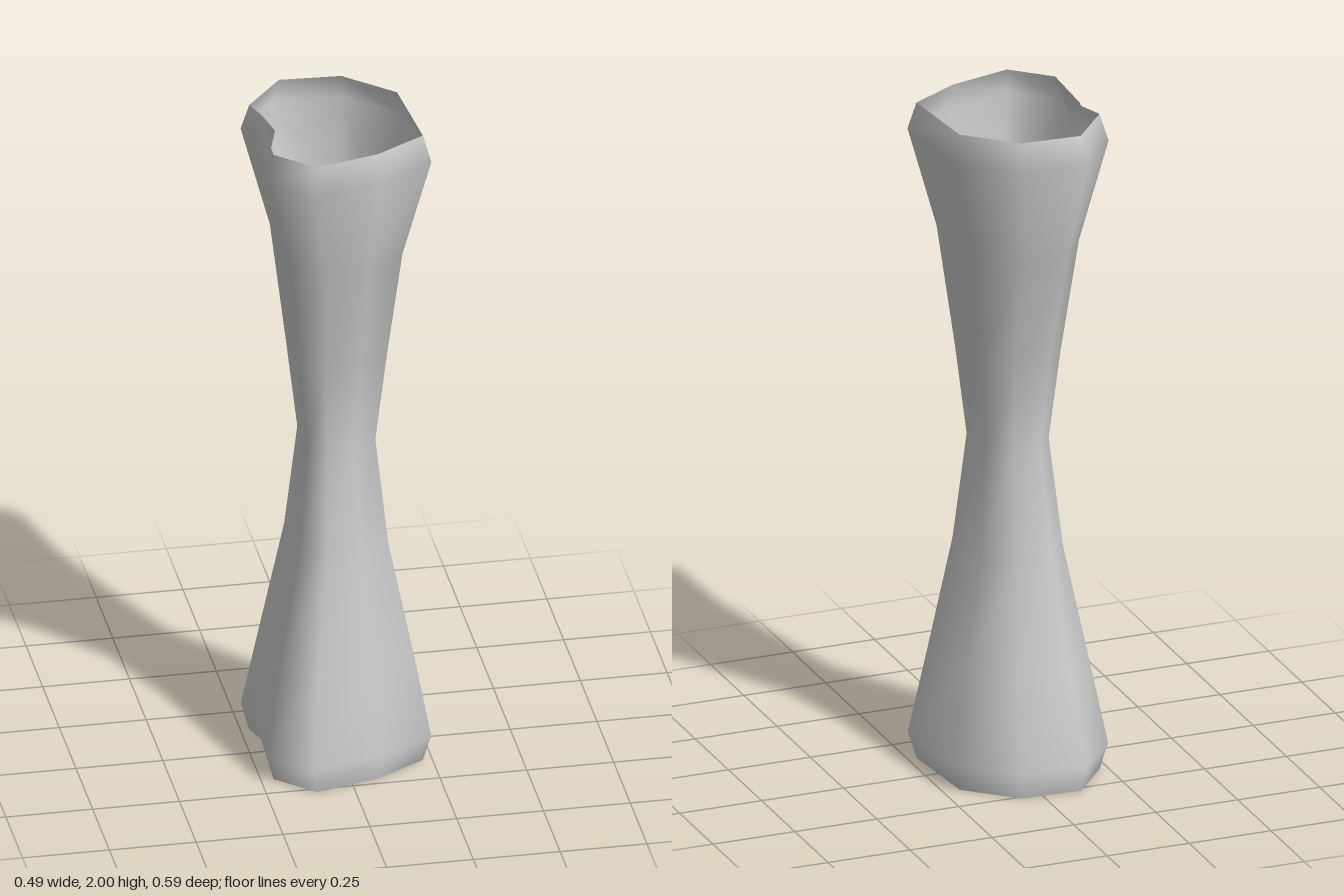
import * as THREE from 'three';

// Widest cross-section as [x, z]: an irregular rolled strip whose two ends overlap on the right side
const outline = [
  [-0.2, 0.03], [-0.222, -0.08], [-0.247, -0.152], [-0.125, -0.298], [0.07, -0.287], [0.22, -0.148],
  [0.245, 0.148], [0.085, 0.242], [-0.118, 0.295], [-0.235, 0.185], [-0.225, -0.045],
];

// Levels as [height, x scale, z scale]
const levels = [
  [0, 0.91, 0.91], [0.08, 1, 0.98], [0.33, 0.82, 0.76], [0.68, 0.54, 0.58], [1, 0.41, 0.4],
  [1.27, 0.53, 0.51], [1.62, 0.68, 0.82], [1.92, 1, 1], [2, 0.91, 0.91],
];

function loftStrip(profile, rings) {
  const positions = [];
  const index = [];
  const n = profile.length;
  rings.forEach(([y, sx, sz], r) => {
    profile.forEach(([x, z], c) => {
      positions.push(x * sx, y, z * sz);
      if (r < rings.length - 1 && c < n - 1) {
        const a = r * n + c;
        index.push(a, a + n, a + 1, a + 1, a + n, a + n + 1);
      }
    });
  });
  const geometry = new THREE.BufferGeometry();
  geometry.setAttribute('position', new THREE.Float32BufferAttribute(positions, 3));
  geometry.setIndex(index);
  geometry.computeVertexNormals();
  return geometry;
}

export function createModel() {
  const group = new THREE.Group();
  group.name = 'hourglassTube';

  // Thin open tube, pinched at the waist and turned in at both rims
  const material = new THREE.MeshStandardMaterial({ color: 0xcccccc, side: THREE.DoubleSide });
  const wall = new THREE.Mesh(loftStrip(outline, levels), material);
  wall.name = 'tubeWall';
  group.add(wall);
  return group;
}
